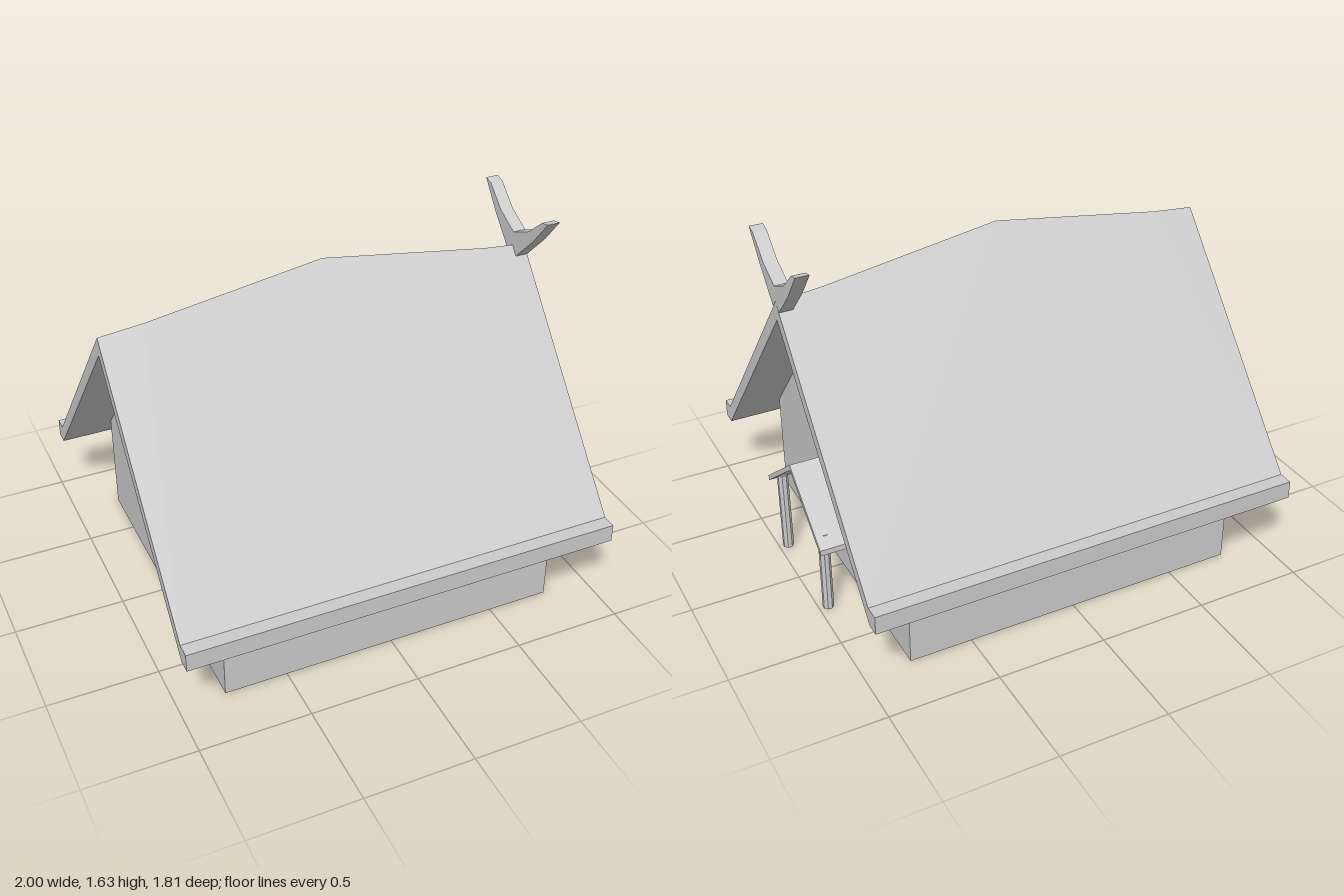
import * as THREE from 'three';

const grey = new THREE.MeshStandardMaterial({ color: 0xcccccc, side: THREE.DoubleSide });

function add(group, name, geometry) {
  const mesh = new THREE.Mesh(geometry, grey);
  mesh.name = name;
  group.add(mesh);
  return mesh;
}

// Mirror a half profile of [z, y] points (starting and ending on the centre line)
// and extrude it along x from x0 to x1.
function gableSolid(half, x0, x1) {
  const mirrored = half.filter(([z]) => z > 0).reverse().map(([z, y]) => [-z, y]);
  const points = [...half, ...mirrored].map(([z, y]) => new THREE.Vector2(z, y));
  const geometry = new THREE.ExtrudeGeometry(new THREE.Shape(points), { depth: x1 - x0, bevelEnabled: false });
  return geometry.rotateY(Math.PI / 2).translate(x0, 0, 0);
}

// Triangles between ridge and eave points, all shaded as one smooth slope.
function roofSlope(points, triangles, side) {
  const position = [], normal = [];
  const n = new THREE.Vector3(0, 0.84, side).normalize();
  for (const tri of triangles) {
    const order = side > 0 ? [...tri].reverse() : tri;
    for (const i of order) {
      position.push(...points[i]);
      normal.push(n.x, n.y, n.z);
    }
  }
  const geometry = new THREE.BufferGeometry();
  geometry.setAttribute('position', new THREE.Float32BufferAttribute(position, 3));
  geometry.setAttribute('normal', new THREE.Float32BufferAttribute(normal, 3));
  return geometry;
}

export function createModel() {
  const house = new THREE.Group();
  house.name = 'gabledHouse';

  // Walls with pointed gables
  add(house, 'walls', gableSolid([[0, 1.34], [0.74, 0.49], [0.74, 0], [0, 0]], -0.785, 0.785));

  // Thick roof with flat eaves
  add(house, 'roof', gableSolid(
    [[0, 1.405], [0.84, 0.44], [0.905, 0.44], [0.905, 0.355], [0.845, 0.355], [0, 1.32]], -1, 1));

  // Raised ridge: points 0-4 run along the ridge, 5 and 6 are the eave ends
  const ridge = [[-1, 1.405, 0], [-0.8, 1.425, 0], [0, 1.55, 0], [0.8, 1.425, 0], [1, 1.405, 0]];
  const eave = (z) => [[-1, 0.44, z], [1, 0.44, z]];
  add(house, 'backRoofSlope', roofSlope([...ridge, ...eave(-0.84)],
    [[5, 0, 1], [5, 1, 2], [5, 2, 6], [6, 2, 3], [6, 3, 4]], -1));
  add(house, 'frontRoofSlope', roofSlope([...ridge, ...eave(0.84)],
    [[5, 0, 1], [5, 1, 3], [5, 3, 6], [6, 3, 4], [1, 2, 3]], 1));

  // Crossed horns on the gable end
  add(house, 'gableHorns', gableSolid(
    [[0, 1.476], [0.117, 1.53], [0.22, 1.62], [0.265, 1.63], [0.165, 1.505], [0.035, 1.37], [0, 1.405]],
    0.94, 1));

  // Porch roof and posts
  add(house, 'porchRoof', gableSolid(
    [[0, 0.61], [0.318, 0.362], [0.318, 0.335], [0, 0.583]], 0.78, 1));
  for (const side of [1, -1]) {
    const post = new THREE.CylinderGeometry(0.025, 0.025, 0.4, 8).toNonIndexed();
    post.rotateY(Math.PI / 8);
    post.computeVertexNormals();
    add(house, side > 0 ? 'leftPorchPost' : 'rightPorchPost', post).position.set(0.957, 0.2, side * 0.248);
  }
  return house;
}
